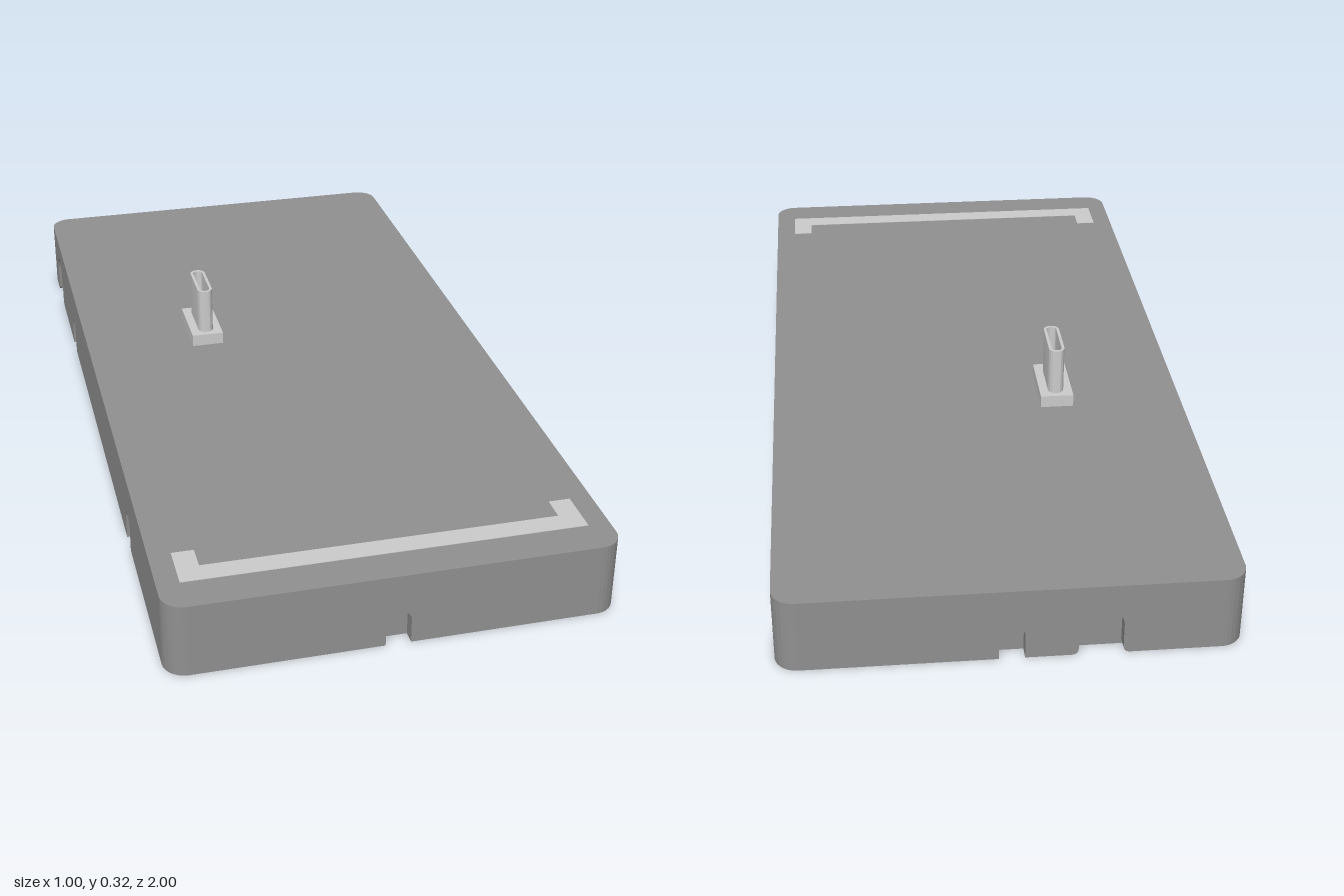
import * as THREE from 'three';
import { toCreasedNormals } from 'three/addons/utils/BufferGeometryUtils.js';

const HALF_W = 0.5, HALF_L = 1, HEIGHT = 0.174, RADIUS = 0.05, RECESS = 0.03;
const PLUG_X = -0.192, PLUG_Z = -0.183;

const extrude = (shape, depth) => toCreasedNormals(
  new THREE.ExtrudeGeometry(shape, { depth, bevelEnabled: false, curveSegments: 16 }), 0.6);

// Plan shape (x, -z) raised upwards
const raise = (shape, depth) => extrude(shape, depth).rotateX(-Math.PI / 2);

// Body plan: round corners, sides set back to receive the wall panels
function corePlan() {
  const s = new THREE.Shape();
  const cx = HALF_W - RADIUS, cy = HALF_L - RADIUS;
  const ix = HALF_W - RECESS, iy = HALF_L - RECESS;
  s.moveTo(HALF_W, cy);
  s.absarc(cx, cy, RADIUS, 0, Math.PI / 2, false);
  s.lineTo(cx, iy);
  s.lineTo(-cx, iy);
  s.lineTo(-cx, HALF_L);
  s.absarc(-cx, cy, RADIUS, Math.PI / 2, Math.PI, false);
  s.lineTo(-ix, cy);
  s.lineTo(-ix, -cy);
  s.lineTo(-HALF_W, -cy);
  s.absarc(-cx, -cy, RADIUS, Math.PI, Math.PI * 1.5, false);
  s.lineTo(-cx, -iy);
  s.lineTo(cx, -iy);
  s.lineTo(cx, -HALF_L);
  s.absarc(cx, -cy, RADIUS, Math.PI * 1.5, Math.PI * 2, false);
  s.lineTo(ix, -cy);
  s.lineTo(ix, cy);
  return s;
}

const small = u => ({ u, r: 0.028, h: 0.084, flare: 0 });
const large = u => ({ u, r: 0.048, h: 0.119, flare: 0.016 });

// Wall elevation with arched notches rising from the bottom edge
function wallShape(length, notches) {
  const s = new THREE.Shape();
  s.moveTo(-length / 2, 0);
  for (const { u, r, h, flare } of notches) {
    s.lineTo(u - r - flare, 0);
    if (flare) s.quadraticCurveTo(u - r, 0, u - r, flare);
    s.lineTo(u - r, h - r);
    s.absarc(u, h - r, r, Math.PI, 0, true);
    s.lineTo(u + r, flare);
    if (flare) s.quadraticCurveTo(u + r, 0, u + r + flare, 0);
  }
  s.lineTo(length / 2, 0);
  s.lineTo(length / 2, HEIGHT);
  s.lineTo(-length / 2, HEIGHT);
  return s;
}

// Slot outline with round ends, long in y
function stadium(path, r, halfLength) {
  const c = halfLength - r;
  path.moveTo(r, -c);
  path.lineTo(r, c);
  path.absarc(0, c, r, 0, Math.PI, false);
  path.lineTo(-r, -c);
  path.absarc(0, -c, r, Math.PI, Math.PI * 2, false);
  return path;
}

export function createModel() {
  const model = new THREE.Group();
  const light = new THREE.MeshStandardMaterial({ color: 0xcccccc });
  const dark = new THREE.MeshStandardMaterial({ color: 0x909090 });
  const add = (parent, name, geometry, material) => {
    const mesh = new THREE.Mesh(geometry, material);
    mesh.name = name;
    parent.add(mesh);
    return mesh;
  };

  // Slab body with notched side walls
  const body = new THREE.Group();
  body.name = 'body';
  model.add(body);
  add(body, 'core', raise(corePlan(), HEIGHT), dark);
  const across = 2 * (HALF_W - RADIUS), along = 2 * (HALF_L - RADIUS);
  const walls = [
    ['frontWall', across, HALF_L, 0, [small(0)]],
    ['plusXWall', along, HALF_W, Math.PI / 2, [small(-0.5), small(0.5), large(0.83)]],
    ['backWall', across, HALF_L, Math.PI, [small(0), large(0.19)]],
    ['minusXWall', along, HALF_W, -Math.PI / 2, [large(-0.83), small(-0.5), small(0.5)]],
  ];
  for (const [name, length, reach, turn, notches] of walls) {
    const g = extrude(wallShape(length, notches), RECESS);
    g.translate(0, 0, reach - RECESS).rotateY(turn);
    add(body, name, g, dark);
  }

  // Bracket-shaped inlay near the front edge
  const strip = new THREE.Shape([
    [-0.45, -0.915], [0.45, -0.915], [0.45, -0.807], [0.4, -0.807],
    [0.4, -0.865], [-0.4, -0.865], [-0.4, -0.807], [-0.45, -0.807],
  ].map(([x, y]) => new THREE.Vector2(x, y)));
  add(model, 'inlayStrip', raise(strip, 0.002), light).position.y = HEIGHT - 0.001;

  // Plug: rectangular foot and hollow round-ended sleeve
  const plug = new THREE.Group();
  plug.name = 'plug';
  plug.position.set(PLUG_X, HEIGHT, PLUG_Z);
  model.add(plug);
  add(plug, 'plugFoot', new THREE.BoxGeometry(0.08, 0.03, 0.162), light).position.y = 0.015;
  const sleeve = stadium(new THREE.Shape(), 0.019, 0.067);
  sleeve.holes.push(stadium(new THREE.Path(), 0.012, 0.06));
  add(plug, 'plugSleeve', raise(sleeve, 0.117), light).position.y = 0.029;

  return model;
}
